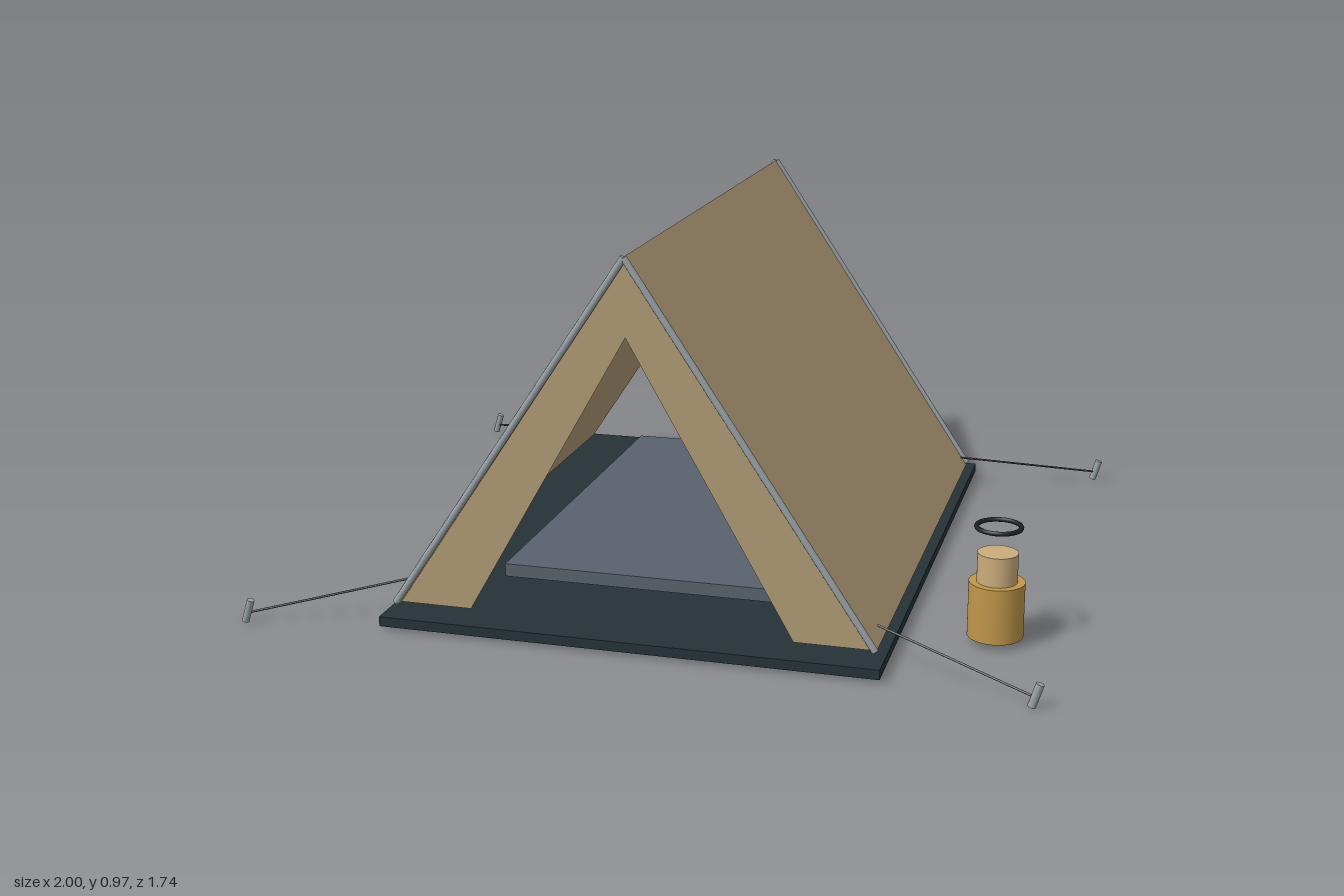
import * as THREE from 'three';

const mat = (color, side = THREE.FrontSide) => new THREE.MeshStandardMaterial({ color, side });

export function createModel() {
  const model = new THREE.Group();
  const metal = mat(0x9aa3a8), cord = mat(0x444444);
  const canvas = mat(0xb8a17c, THREE.DoubleSide);

  const add = (parent, name, geometry, material, x = 0, y = 0, z = 0) => {
    const mesh = new THREE.Mesh(geometry, material);
    mesh.name = name;
    mesh.position.set(x, y, z);
    parent.add(mesh);
    return mesh;
  };
  // Round bar between two points
  const bar = (parent, name, a, b, radius, material, sides = 8) => {
    const from = new THREE.Vector3(...a), to = new THREE.Vector3(...b);
    const dir = to.clone().sub(from);
    const mesh = add(parent, name, new THREE.CylinderGeometry(radius, radius, dir.length(), sides), material);
    mesh.position.copy(from).add(to).multiplyScalar(0.5);
    mesh.quaternion.setFromUnitVectors(new THREE.Vector3(0, 1, 0), dir.normalize());
    return mesh;
  };
  const outline = (points) => new THREE.Shape(points.map(([x, y]) => new THREE.Vector2(x, y)));

  // Tent, with its ridge slightly off the model's centre
  const tent = new THREE.Group();
  tent.name = 'tent';
  tent.position.x = -0.014;
  model.add(tent);

  add(tent, 'groundsheet', new THREE.BoxGeometry(1.26, 0.025, 1.64), mat(0x263238), 0, 0.0225, 0);
  add(tent, 'sleepingMat', new THREE.BoxGeometry(0.82, 0.034, 1.19), mat(0x59626d), 0, 0.071, -0.075);

  // Sloping canvas walls and the end poles
  for (const s of [-1, 1]) {
    const wall = outline([[0, 0.967], [s * 0.609, 0.05], [s * 0.599, 0.05], [0, 0.952]]);
    add(tent, s > 0 ? 'leftWall' : 'rightWall',
      new THREE.ExtrudeGeometry(wall, { depth: 1.52, bevelEnabled: false }), canvas, 0, 0, -0.76);
    for (const e of [-1, 1]) {
      bar(tent, e > 0 ? 'frontPole' : 'backPole',
        [0, 0.965, e * 0.763], [s * 0.608, 0.055, e * 0.763], 0.009, metal);
    }
  }

  // Front panel with a triangular doorway; the back is open
  const door = outline([[-0.6, 0.055], [-0.41, 0.055], [0, 0.773], [0.41, 0.055], [0.6, 0.055], [0, 0.958]]);
  add(tent, 'frontPanel', new THREE.ShapeGeometry(door), mat(0xb09a74, THREE.DoubleSide), 0, 0, 0.757);

  // Guy lines and leaning stakes at the four corners
  for (const s of [-1, 1]) {
    for (const e of [-1, 1]) {
      bar(model, 'guyLine', [s * 0.6 - 0.014, 0.092, e * 0.69], [s * 0.98, 0.027, e * 0.86], 0.003, cord, 6);
      const stake = add(model, 'stake', new THREE.CylinderGeometry(0.01, 0.01, 0.06, 8), metal,
        s * 0.98, 0.033, e * 0.862);
      stake.rotation.z = -0.3;
    }
  }

  // Lantern standing beside the tent
  const lantern = new THREE.Group();
  lantern.name = 'lantern';
  lantern.position.set(0.842, 0, 0.495);
  model.add(lantern);
  add(lantern, 'lanternBase', new THREE.CylinderGeometry(0.069, 0.069, 0.14, 24), mat(0xc0974b), 0, 0.088, 0);
  add(lantern, 'lanternTop', new THREE.CylinderGeometry(0.05, 0.05, 0.074, 24), mat(0xcbad7c), 0, 0.195, 0);
  const handle = add(lantern, 'lanternHandle', new THREE.TorusGeometry(0.054, 0.006, 8, 32), mat(0x212121), 0, 0.297, 0);
  handle.rotation.x = Math.PI / 2;

  return model;
}
